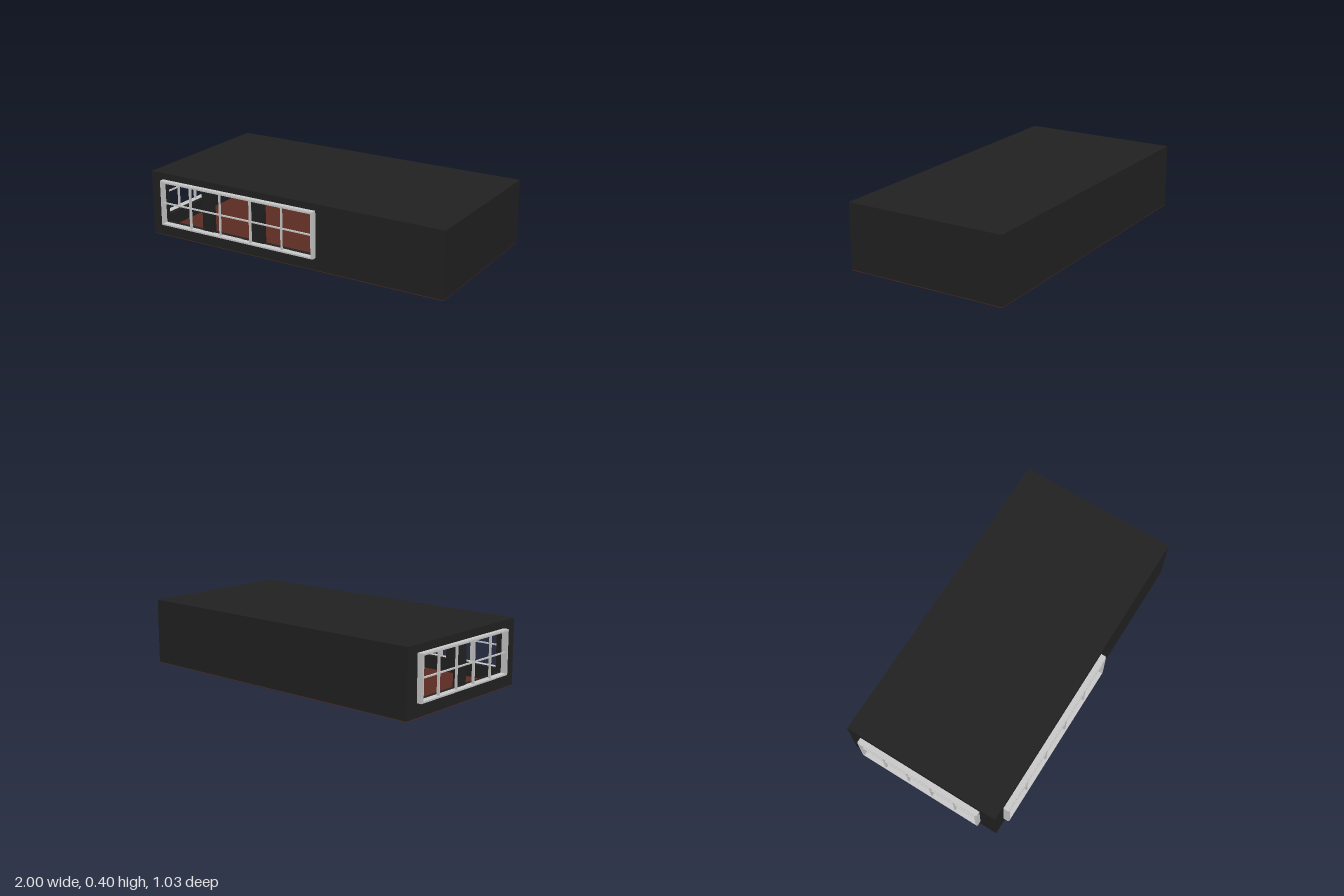
import * as THREE from 'three';

const wallMat = new THREE.MeshStandardMaterial({ color: 0x222222 });
wallMat.name = 'charcoal wall';
const floorMat = new THREE.MeshStandardMaterial({ color: 0x5c2c22 });
floorMat.name = 'brown floor';
const frameMat = new THREE.MeshStandardMaterial({ color: 0xcccccc });
frameMat.name = 'light grey frame';

// Room extents and wall thickness
const X0 = -0.965, X1 = 1, Z0 = -0.515, Z1 = 0.48, Y0 = 0.004, Y1 = 0.4, T = 0.03;

function box(name, mat, x0, x1, y0, y1, z0, z1) {
  const mesh = new THREE.Mesh(new THREE.BoxGeometry(x1 - x0, y1 - y0, z1 - z0), mat);
  mesh.position.set((x0 + x1) / 2, (y0 + y1) / 2, (z0 + z1) / 2);
  mesh.name = name;
  return mesh;
}

function trace(path, x0, x1, y0, y1) {
  path.moveTo(x0, y0);
  path.lineTo(x1, y0);
  path.lineTo(x1, y1);
  path.lineTo(x0, y1);
  path.closePath();
  return path;
}

// Upright panel with rectangular openings, its outer face at local z = 0
function pierced(name, mat, outer, holes, z0, depth) {
  const shape = trace(new THREE.Shape(), ...outer);
  for (const h of holes) shape.holes.push(trace(new THREE.Path(), ...h));
  const geo = new THREE.ExtrudeGeometry(shape, { depth, bevelEnabled: false });
  geo.translate(0, 0, z0);
  const mesh = new THREE.Mesh(geo, mat);
  mesh.name = name;
  return mesh;
}

// Projecting window: stepped border, four upright bars and one crossbar
function windowUnit(name, u0, u1, y0, y1) {
  const g = new THREE.Group();
  g.name = name;
  const w = 0.012;
  const ring = (label, inset, z0, depth) => {
    const o = [u0 + inset, u1 - inset, y0 + inset, y1 - inset];
    const h = [u0 + w, u1 - w, y0 + w, y1 - w];
    g.add(pierced(label, frameMat, o, [h], z0, depth));
  };
  ring('windowBorder', 0, -0.004, 0.034);
  ring('windowBorderLip', 0.003, 0.03, 0.005);
  for (let i = 1; i < 5; i++) {
    const u = u0 + ((u1 - u0) * i) / 5;
    const r = i % 2 ? 0.005 : 0.0035;
    g.add(box('windowBar', frameMat, u - r, u + r, y0 + w, y1 - w, 0.012, 0.026));
  }
  const m = (y0 + y1) / 2;
  g.add(box('windowCrossbar', frameMat, u0 + w, u1 - w, m - 0.004, m + 0.004, 0.014, 0.024));
  return g;
}

export function createModel() {
  const model = new THREE.Group();
  model.name = 'room';

  // Floor and roof
  const e = 0.0015;
  model.add(box('floor', floorMat, X0 + e, X1 - e, 0, 0.01, Z0 + e, Z1 - e));
  model.add(box('roof', wallMat, X0, X1, Y1 - T, Y1, Z0, Z1));

  // Plain walls
  model.add(box('backWall', wallMat, X0, X1, Y0, Y1 - T, Z0, Z0 + T));
  model.add(box('leftWall', wallMat, X1 - T, X1, Y0, Y1 - T, Z0 + T, Z1 - T));

  // Front wall: three openings with two piers between them
  const front = new THREE.Group();
  front.name = 'frontSide';
  front.add(pierced('frontWall', wallMat, [X0, X1, Y0, Y1 - T], [
    [-0.87, -0.59, 0.09, 0.35],
    [-0.515, -0.235, 0.09, 0.35],
    [-0.155, 0.19, 0.09, 0.35],
  ], -T, T));
  front.add(windowUnit('frontWindow', -0.88, 0.2, 0.078, 0.36));
  front.position.z = Z1;
  model.add(front);

  // Right wall: two openings with one pier, turned to face -x
  const side = new THREE.Group();
  side.name = 'rightSide';
  side.add(pierced('rightWall', wallMat, [Z0 + T, Z1 - T, Y0, Y1 - T], [
    [-0.42, -0.07, 0.095, 0.345],
    [0.01, 0.365, 0.095, 0.345],
  ], -T, T));
  side.add(windowUnit('sideWindow', -0.43, 0.375, 0.085, 0.355));
  side.rotation.y = -Math.PI / 2;
  side.position.x = X0;
  model.add(side);

  return model;
}
